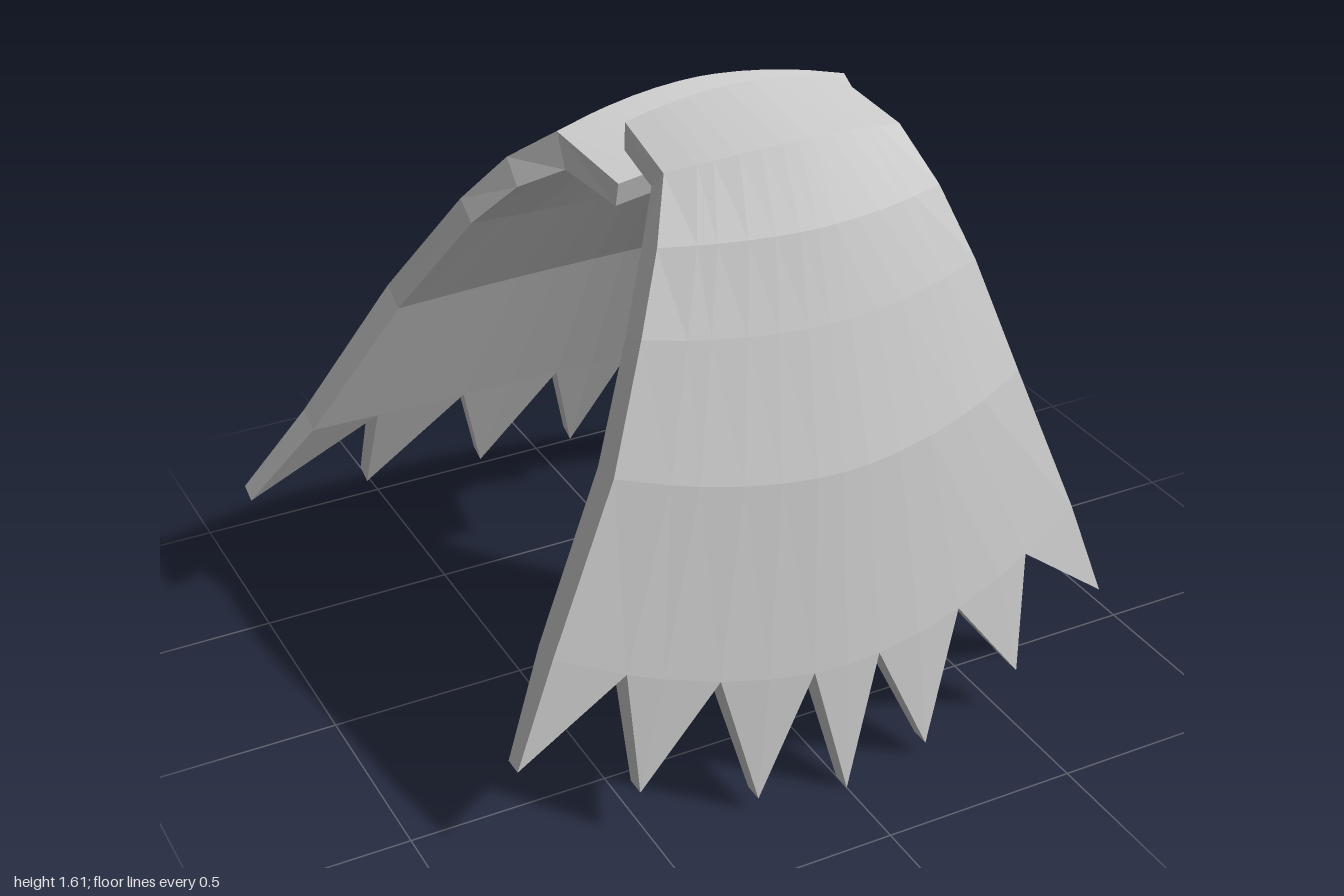
import * as THREE from 'three';

// Columns across a panel: tooth tips alternate with notches
const half = [0.125, 0.29, 0.46, 0.65, 0.77, 1];
const columns = [...half.map(u => -u).reverse(), 0, ...half];

// Each row: half width, centre y, centre z, edge y, edge z, thickness dy, dz.
// The last row holds the tooth tips, the one before it the notches.
const frontRows = [
  [0.28, 1.615, 0.22, 1.57, 0.21, -0.07, -0.005],
  [0.30, 1.58, 0.50, 1.54, 0.44, -0.055, -0.06],
  [0.36, 1.41, 0.60, 1.41, 0.525, -0.03, -0.075],
  [0.43, 1.20, 0.66, 1.23, 0.585, -0.02, -0.075],
  [0.53, 0.86, 0.74, 0.94, 0.645, -0.01, -0.08],
  [0.70, 0.36, 0.785, 0.53, 0.67, -0.005, -0.075],
  [0.80, 0.01, 0.80, 0.26, 0.68, 0, -0.05],
];
const backRows = [
  [0.335, 1.50, 0.30, 1.46, 0.285, -0.06, -0.015],
  [0.38, 1.56, 0.025, 1.51, 0.06, -0.08, 0.04],
  [0.46, 1.43, -0.13, 1.42, -0.05, -0.055, 0.055],
  [0.54, 1.22, -0.27, 1.29, -0.15, -0.04, 0.06],
  [0.67, 0.96, -0.45, 1.01, -0.33, -0.035, 0.065],
  [0.86, 0.52, -0.66, 0.63, -0.485, -0.03, 0.06],
  [1.00, 0.19, -0.80, 0.38, -0.60, -0.02, 0.045],
];

function panel(name, rows, side) {
  const last = rows.length - 1, n = columns.length - 1;
  const positions = [];

  // Point on the outer or inner skin; notches stay on the row above the tips
  const point = (r, j, inner) => {
    const row = r === last && j % 2 === 1 ? last - 1 : r;
    const [w, yc, zc, ye, ze, dy, dz] = rows[row];
    const u = columns[j];
    const t = Math.abs(u) ** (row === last ? 1.5 : 1.85);
    const k = inner ? 1 : 0;
    return new THREE.Vector3(w * u * side, yc + (ye - yc) * t + dy * k, zc + (ze - zc) * t + dz * k);
  };
  const triangle = (a, b, c) => {
    const area = b.clone().sub(a).cross(c.clone().sub(a)).length();
    if (area > 1e-7) for (const p of [a, b, c]) positions.push(p.x, p.y, p.z);
  };
  const quad = (a, b, c, d) => { triangle(a, b, c); triangle(a, c, d); };

  // Outer and inner skins
  for (let r = 0; r < last; r++) {
    for (let j = 0; j < n; j++) {
      for (const inner of [false, true]) {
        const a = point(r, j, inner), b = point(r, j + 1, inner);
        const c = point(r + 1, j + 1, inner), d = point(r + 1, j, inner);
        if (inner) quad(a, b, c, d);
        else quad(a, d, c, b);
      }
    }
  }

  // Rim around the whole outline: down, along the hem, up and back along the top
  const rim = [];
  for (let r = 0; r < last; r++) rim.push([r, 0]);
  for (let j = 0; j < n; j++) rim.push([last, j]);
  for (let r = last; r > 0; r--) rim.push([r, n]);
  for (let j = n; j > 0; j--) rim.push([0, j]);
  rim.forEach(([r, j], i) => {
    const [r2, j2] = rim[(i + 1) % rim.length];
    quad(point(r, j, false), point(r, j, true), point(r2, j2, true), point(r2, j2, false));
  });

  const geometry = new THREE.BufferGeometry();
  geometry.setAttribute('position', new THREE.Float32BufferAttribute(positions, 3));
  geometry.computeVertexNormals();
  const mesh = new THREE.Mesh(geometry, new THREE.MeshStandardMaterial({ color: 0xcccccc, flatShading: true }));
  mesh.name = name;
  return mesh;
}

export function createModel() {
  const group = new THREE.Group();
  group.name = 'jaggedCape';
  group.add(panel('frontPanel', frontRows, 1), panel('backPanel', backRows, -1));
  return group;
}
